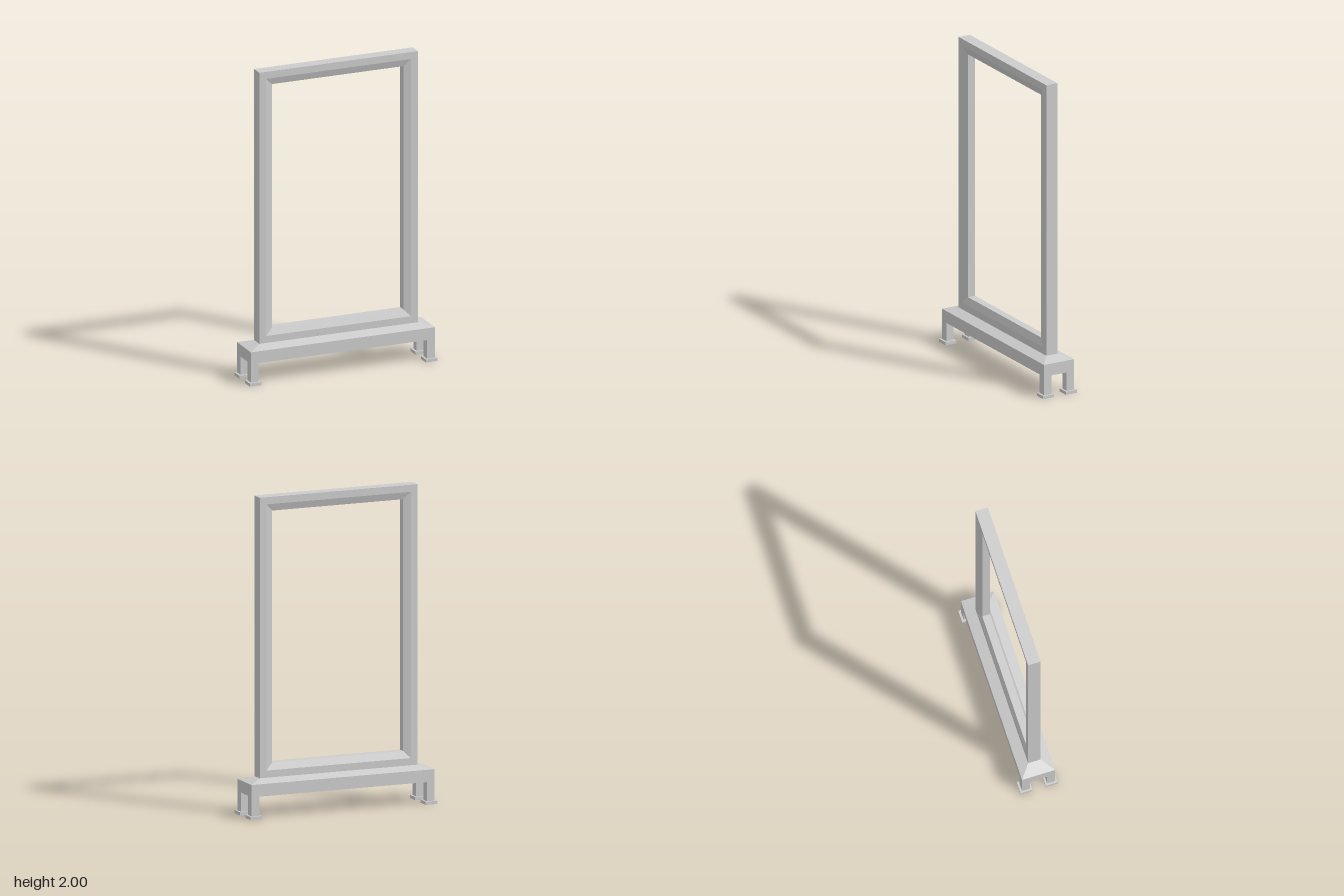
import * as THREE from 'three';

const material = new THREE.MeshStandardMaterial({ color: 0xcccccc, flatShading: true });

function addMesh(parent, name, geometry) {
  const mesh = new THREE.Mesh(geometry, material);
  mesh.name = name;
  parent.add(mesh);
  return mesh;
}

// Box given by its width, depth and vertical extent
function slab(w, d, y0, y1) {
  return new THREE.BoxGeometry(w, y1 - y0, d).translate(0, (y0 + y1) / 2, 0);
}

// Sweep a closed (inset, z) section around a rectangle with mitred corners
function mitredFrame(halfW, y0, y1, section) {
  const corner = (k, [inset, z]) => [
    (k === 1 || k === 2 ? 1 : -1) * (halfW - inset),
    k < 2 ? y0 + inset : y1 - inset,
    z,
  ];
  const positions = [];
  for (let k = 0; k < 4; k++) {
    const next = (k + 1) % 4;
    section.forEach((p, j) => {
      const q = section[(j + 1) % section.length];
      const a = corner(k, p), b = corner(next, p), c = corner(next, q), d = corner(k, q);
      positions.push(...a, ...b, ...c, ...a, ...c, ...d);
    });
  }
  const geometry = new THREE.BufferGeometry();
  geometry.setAttribute('position', new THREE.Float32BufferAttribute(positions, 3));
  geometry.computeVertexNormals();
  return geometry;
}

export function createModel() {
  const model = new THREE.Group();
  model.name = 'standingFrame';

  // Upright frame with a shallow bevel around the opening, front and back
  const d = 0.04, b = 0.025;
  addMesh(model, 'frame', mitredFrame(0.53, 0.24, 2, [
    [0, -d], [0, d], [0.045, d], [0.09, b], [0.09, -b], [0.045, -d],
  ]));

  // Base block and its sloping top
  const base = new THREE.Group();
  base.name = 'base';
  model.add(base);
  addMesh(base, 'baseBlock', slab(1.23, 0.214, 0.14, 0.217));

  const slope = slab(1.23, 0.214, 0.217, 0.24);
  const pos = slope.attributes.position;
  for (let i = 0; i < pos.count; i++) {
    if (pos.getY(i) > 0.23) {
      pos.setX(i, Math.sign(pos.getX(i)) * 0.53);
      pos.setZ(i, Math.sign(pos.getZ(i)) * d);
    }
  }
  slope.computeVertexNormals();
  addMesh(base, 'baseSlope', slope);

  // Four legs, each on a square foot
  for (const sx of [-1, 1]) {
    for (const sz of [-1, 1]) {
      const name = (sz > 0 ? 'front' : 'back') + (sx > 0 ? 'Left' : 'Right');
      const leg = new THREE.Group();
      leg.name = name + 'Support';
      leg.position.set(sx * 0.589, 0, sz * 0.081);
      addMesh(leg, name + 'Leg', slab(0.052, 0.052, 0.02, 0.14));
      addMesh(leg, name + 'Foot', slab(0.078, 0.078, 0, 0.02));
      model.add(leg);
    }
  }
  return model;
}
